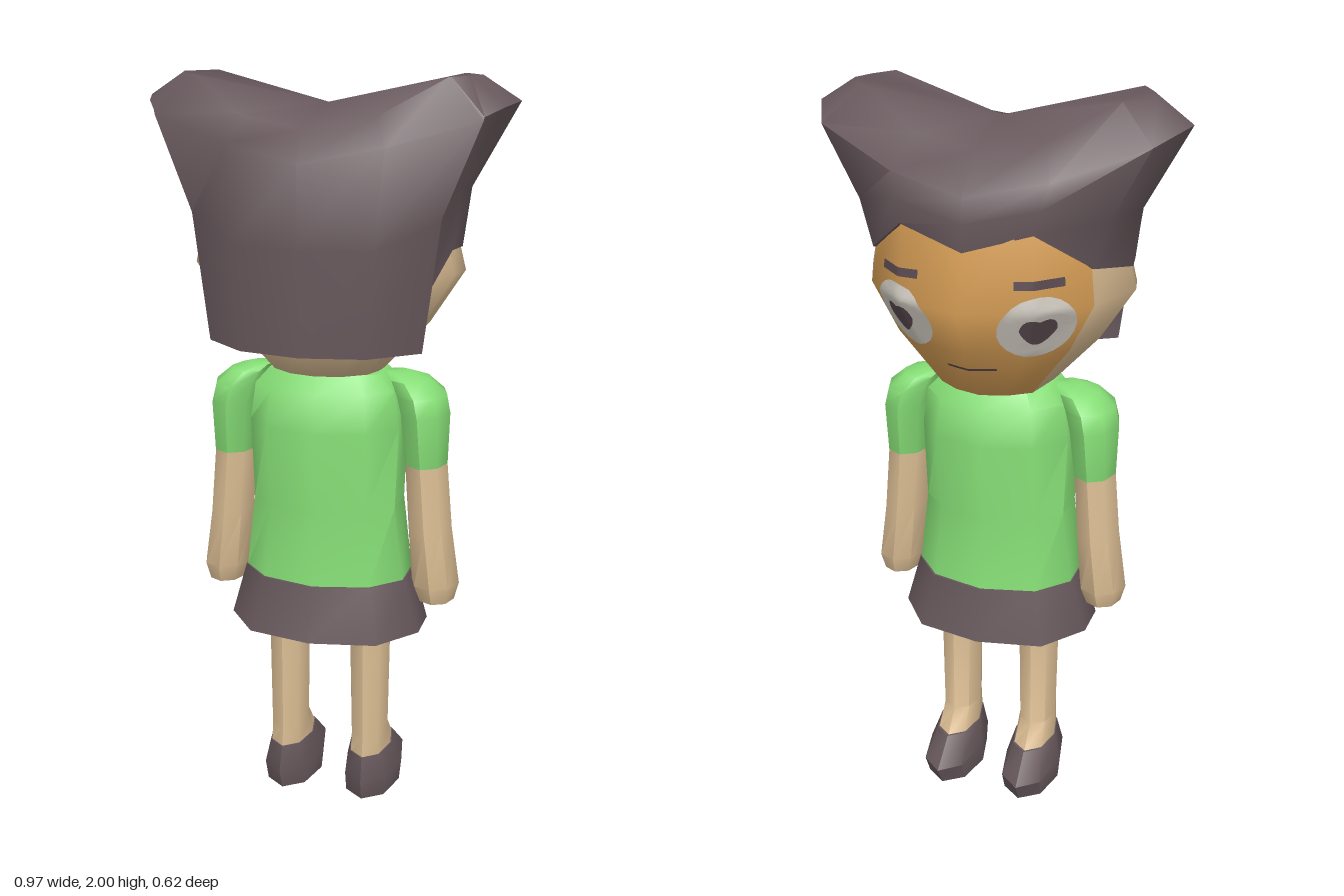
import * as THREE from 'three';
import { toCreasedNormals } from 'three/addons/utils/BufferGeometryUtils.js';

const mat = (name, color) => new THREE.MeshStandardMaterial({ name, color });

// Ring mirrored in x from half a contour running front (-z) to back (+z)
const mirrorRing = half => [...half, ...half.slice(1, -1).reverse().map(([x, y, z]) => [-x, y, z])];

// Elliptical ring, clockwise seen from above
const oval = (cx, y, cz, rx, rz, n = 8) => Array.from({ length: n }, (_, i) => {
  const t = i / n * Math.PI * 2;
  return [cx + rx * Math.sin(t), y, cz - rz * Math.cos(t)];
});

// Skin a stack of rings, bottom to top; faceColumns puts front columns in group 1
function loft(rings, { bottom = true, top = true, topCentre, faceColumns = 0, crease = 0.8 } = {}) {
  const n = rings[0].length, pos = rings.flat(2), idx = [];
  for (let j = 0; j < n; j++) {
    for (let i = 0; i < rings.length - 1; i++) {
      const a = i * n + j, b = i * n + (j + 1) % n;
      idx.push(a, a + n, b, b, a + n, b + n);
    }
  }
  const sides = idx.length;
  const cap = (r, isTop, centre) => {
    const c = pos.length / 3;
    pos.push(...(centre || [0, 1, 2].map(k => rings[r].reduce((s, p) => s + p[k], 0) / n)));
    for (let j = 0; j < n; j++) {
      const a = r * n + j, b = r * n + (j + 1) % n;
      idx.push(c, ...(isTop ? [b, a] : [a, b]));
    }
  };
  if (bottom) cap(0, false);
  if (top) cap(rings.length - 1, true, topCentre);
  const g = new THREE.BufferGeometry();
  g.setAttribute('position', new THREE.Float32BufferAttribute(pos, 3));
  g.setIndex(idx);
  if (faceColumns) {
    const f = sides / n * faceColumns;
    g.addGroup(0, f, 1);
    g.addGroup(f, sides - 2 * f, 0);
    g.addGroup(sides - f, f, 1);
    g.addGroup(sides, idx.length - sides, 0);
  }
  return toCreasedNormals(g, crease);
}

export function createModel() {
  const model = new THREE.Group();
  const skin = mat('skin', 0xdcbe94), face = mat('face', 0xdca258), dark = mat('dark brown', 0x67585c);
  const green = mat('shirt green', 0x86de76), white = mat('eye white', 0xd2ccc2), ink = mat('pupil', 0x5a4a50);
  const add = (name, geometry, material) => {
    const mesh = new THREE.Mesh(geometry, material);
    mesh.name = name;
    model.add(mesh);
    return mesh;
  };

  // Head, with the face on the front columns
  const headRings = [
    [[0, 1.25, -.15], [.07, 1.25, -.13], [.125, 1.25, -.09], [.15, 1.25, .02], [.145, 1.25, .06], [.13, 1.25, .1],
      [.125, 1.25, .11], [.07, 1.25, .15], [0, 1.25, .165]],
    [[0, 1.4, -.255], [.14, 1.4, -.205], [.23, 1.39, -.12], [.27, 1.38, .02], [.26, 1.38, .08], [.235, 1.38, .14],
      [.23, 1.38, .15], [.14, 1.38, .23], [0, 1.38, .27]],
    [[0, 1.52, -.31], [.175, 1.52, -.25], [.295, 1.52, -.135], [.36, 1.52, .02], [.345, 1.52, .09], [.285, 1.52, .155],
      [.28, 1.52, .16], [.165, 1.52, .24], [0, 1.52, .28]],
    [[0, 1.72, -.24], [.165, 1.76, -.225], [.275, 1.68, -.12], [.325, 1.66, .02], [.31, 1.66, .09], [.27, 1.6, .15],
      [.265, 1.6, .155], [.155, 1.6, .22], [0, 1.6, .25]],
  ].map(mirrorRing);
  const head = add('head', loft(headRings, { faceColumns: 2, crease: 1.1 }), [skin, face]);

  // Hair: a bob with two raised peaks
  const hem = [[0, 1.66, -.267], [.17, 1.71, -.238], [.29, 1.61, -.13], [.35, 1.58, .02], [.338, 1.58, .09],
    [.288, 1.47, .167], [.282, 1.33, .168], [.165, 1.33, .268], [0, 1.33, .3]];
  const hairRings = [
    hem.map(([x, y, z]) => [x * .82, y, z * .82]),
    hem,
    [[0, 1.73, -.275], [.185, 1.77, -.24], [.325, 1.73, -.125], [.37, 1.73, .02], [.355, 1.73, .09],
      [.33, 1.7, .165], [.322, 1.66, .17], [.18, 1.6, .278], [0, 1.6, .31]],
    [[0, 1.79, -.265], [.2, 1.83, -.215], [.42, 1.91, -.125], [.485, 1.94, .015], [.46, 1.93, .09],
      [.42, 1.91, .16], [.418, 1.9, .162], [.2, 1.84, .245], [0, 1.8, .31]],
    [[0, 1.88, -.17], [.17, 1.91, -.14], [.33, 2, -.07], [.39, 2, .02], [.37, 2, .08],
      [.335, 2, .14], [.33, 2, .145], [.17, 1.91, .21], [0, 1.88, .25]],
  ].map(mirrorRing);
  add('hair', loft(hairRings, { bottom: false, topCentre: [0, 1.93, .03], crease: 1 }), dark);

  // Painted details laid onto the face surface
  const ray = new THREE.Raycaster(), up = new THREE.Vector3(0, 1, 0);
  head.updateMatrixWorld();
  function paint(name, g, centre, dir, lift, material) {
    const n = new THREE.Vector3(...dir).normalize(), right = up.clone().cross(n), p = g.attributes.position;
    for (let i = 0; i < p.count; i++) {
      const w = new THREE.Vector3(...centre).addScaledVector(right, p.getX(i)).addScaledVector(up, p.getY(i));
      ray.set(w.clone().addScaledVector(n, 1), n.clone().negate());
      const hit = ray.intersectObject(head)[0];
      if (hit) w.copy(hit.point);
      w.addScaledVector(n, lift);
      p.setXYZ(i, w.x, w.y, w.z);
    }
    g.computeVertexNormals();
    add(name, g, material);
  }
  const disc = (rx, ry) => new THREE.RingGeometry(0.001, 1, 24, 8).scale(rx, ry, 1);
  for (const s of [1, -1]) {
    const dir = [s * .55, 0, -.83];
    paint('eyeWhite', disc(.102, .086), [s * .18, 1.475, -.22], dir, .004, white);
    // Pupil with a small notch at the top
    const pupil = disc(.05, .044), p = pupil.attributes.position;
    for (let i = 0; i < p.count; i++) {
      const x = p.getX(i), y = p.getY(i);
      p.setXY(i, x * (y < 0 ? 1 + y * 8 : 1), y > 0 ? y * (.55 + 10 * Math.min(Math.abs(x), .04)) : y);
    }
    paint('pupil', pupil, [s * .18, 1.472, -.22], dir, .007, ink);
    paint('eyebrow', new THREE.PlaneGeometry(.13, .022, 12, 2), [s * .18, 1.59, -.22], dir, .004, ink);
  }
  paint('mouth', new THREE.PlaneGeometry(.13, .007, 12, 1), [0, 1.345, -.2], [0, 0, -1], .004, ink);

  // Torso
  const bodyRing = (y, x, front, back) => mirrorRing([[0, y, front], [x * .66, y, front + .035],
    [x, y, .02 - .05], [x, y, .02 + .06], [x * .66, y, back - .035], [0, y, back]]);
  add('neck', loft([oval(0, 1.18, .01, .1, .1), oval(0, 1.3, .01, .1, .1)]), skin);
  add('shirt', loft([
    bodyRing(.67, .222, -.15, .192), bodyRing(.88, .197, -.13, .178), bodyRing(1.1, .205, -.15, .192),
    bodyRing(1.2, .19, -.135, .175), bodyRing(1.245, .15, -.1, .14),
  ]), green);
  add('skirt', loft([bodyRing(.525, .268, -.185, .23), bodyRing(.675, .225, -.155, .197)]), dark);

  for (const s of [1, -1]) {
    // Arms
    add('sleeve', loft([
      oval(s * .268, 1, .022, .058, .08), oval(s * .262, 1.14, .022, .068, .1),
      oval(s * .25, 1.19, .022, .07, .092), oval(s * .22, 1.228, .022, .055, .07), oval(s * .19, 1.243, .022, .035, .04),
    ], { crease: 1 }), green);
    add('arm', loft([
      oval(s * .303, .612, .022, .05, .062), oval(s * .3, .66, .022, .066, .08),
      oval(s * .282, .82, .022, .06, .08), oval(s * .268, 1, .022, .058, .079),
    ]), skin);

    // Legs and shoes
    add('leg', loft([
      oval(s * .118, .125, -.003, .058, .11), oval(s * .118, .19, .022, .053, .078),
      oval(s * .117, .54, .022, .059, .08),
    ]), skin);
    add('shoe', loft([
      oval(s * .118, 0, -.026, .078, .138), oval(s * .12, .06, -.032, .081, .163),
      oval(s * .118, .13, -.003, .06, .113),
    ]), dark);
  }
  return model;
}
